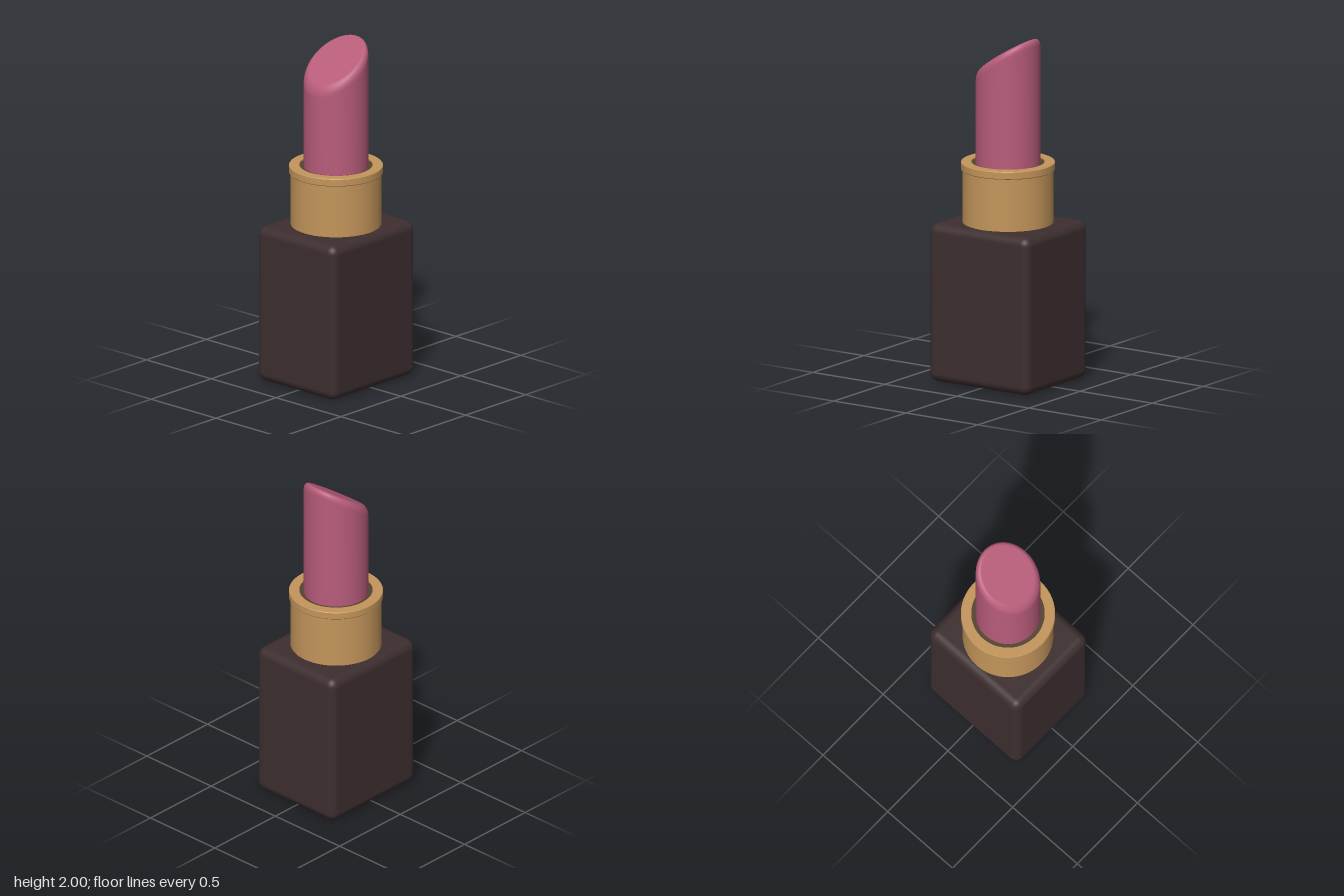
import * as THREE from 'three';
import { mergeVertices, toCreasedNormals } from 'three/addons/utils/BufferGeometryUtils.js';
import { RoundedBoxGeometry } from 'three/addons/geometries/RoundedBoxGeometry.js';

const material = (name, color) => {
  const m = new THREE.MeshStandardMaterial({ color });
  m.name = name;
  return m;
};

const lathe = (points, segments = 96) =>
  new THREE.LatheGeometry(points.map(([r, y]) => new THREE.Vector2(r, y)), segments);

// Round stick whose softly edged top is sheared into a slant along x
function stickGeometry() {
  const R = 0.183, top = 1.893, edge = 0.032, drop = 0.052, slope = 0.67;
  const points = [[R, 1.2], [R, 1.3], [R, top - drop - 0.02]];
  const steps = 10;
  for (let i = 0; i <= steps; i++) {
    const a = (i / steps) * Math.PI / 2;
    points.push([R - edge + edge * Math.cos(a), top - drop * (1 - Math.sin(a))]);
  }
  points.push([R - edge - 0.01, top], [0.07, top], [0, top]);

  let geometry = lathe(points);
  const p = geometry.attributes.position;
  for (let i = 0; i < p.count; i++) {
    if (p.getY(i) > 1.5) p.setY(i, p.getY(i) + slope * p.getX(i));
  }
  geometry.deleteAttribute('uv');
  geometry.deleteAttribute('normal');
  geometry = mergeVertices(geometry, 1e-5);
  geometry.computeVertexNormals();
  return geometry;
}

export function createModel() {
  const model = new THREE.Group();
  const dark = material('dark case', 0x3d2e2f);
  const gold = material('gold metal', 0xc4955b);
  const shade = material('dark bronze', 0x54432f);
  const pink = material('rose pink', 0xb85c7a);

  const add = (name, geometry, mat, y = 0) => {
    const mesh = new THREE.Mesh(geometry, mat);
    mesh.name = name;
    mesh.position.y = y;
    model.add(mesh);
  };

  // Rounded rectangular base
  add('case', new RoundedBoxGeometry(0.696, 0.92, 0.604, 6, 0.052), dark, 0.46);

  // Metal sleeve and the lip around its mouth
  add('collar', lathe([[0.258, 0.9], [0.258, 1.23]]), gold);
  add('rim', toCreasedNormals(lathe([
    [0.208, 1.225], [0.264, 1.225], [0.267, 1.229],
    [0.267, 1.266], [0.264, 1.27], [0.208, 1.27], [0.208, 1.225],
  ]), 0.6), gold);

  // Floor of the mouth
  add('collarFloor', new THREE.CylinderGeometry(0.21, 0.21, 0.01, 96), shade, 1.257);

  add('stick', stickGeometry(), pink);
  return model;
}
